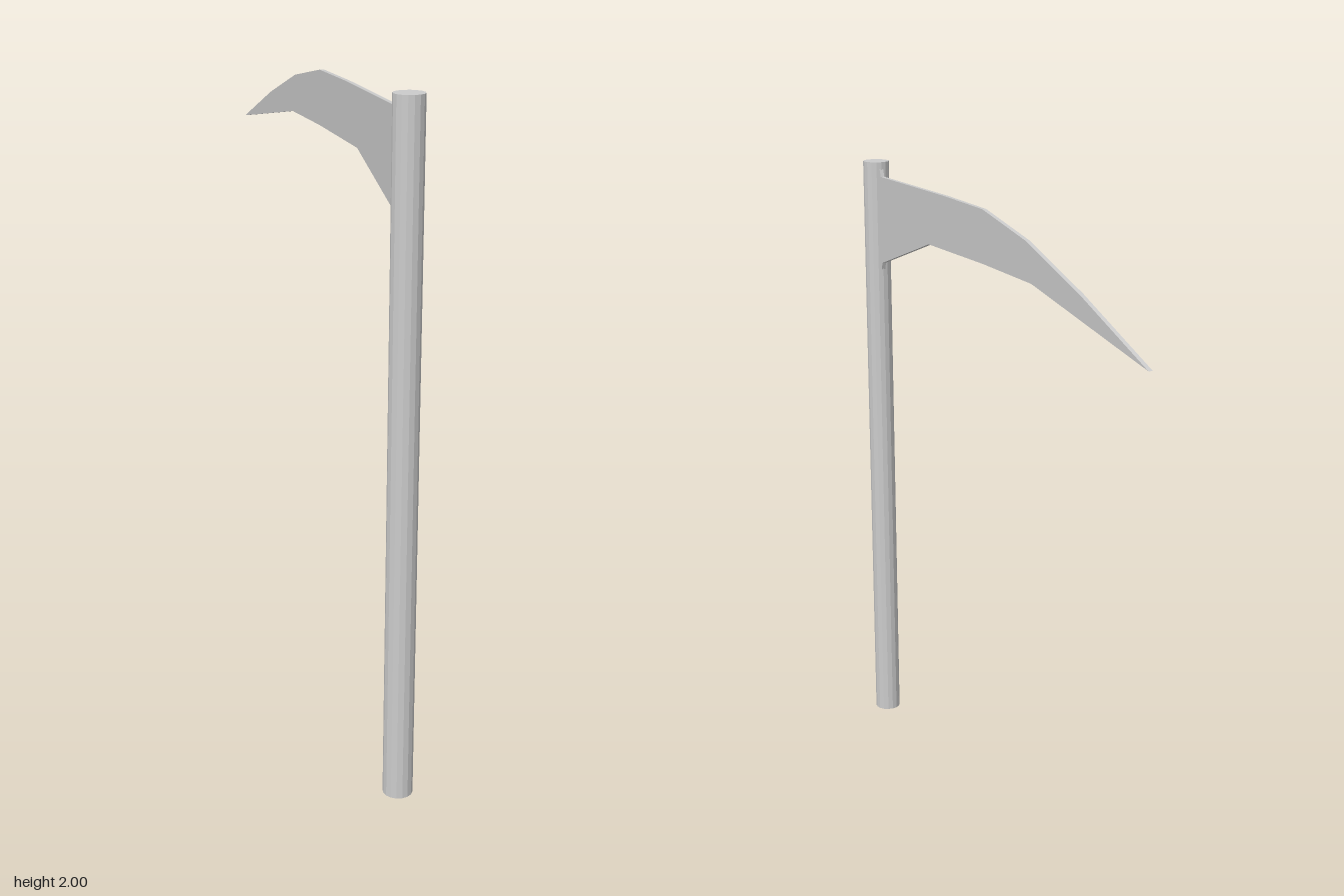
import * as THREE from 'three';

export function createModel() {
  const group = new THREE.Group();
  const material = new THREE.MeshStandardMaterial({ color: 0xcccccc, flatShading: true });

  // Straight faceted pole
  const pole = new THREE.Mesh(new THREE.CylinderGeometry(0.043, 0.043, 2, 16), material);
  pole.name = 'pole';
  pole.position.set(0, 1, 0.83);
  group.add(pole);

  // Thin curved blade: outline as [z, y], flared slightly where it meets the pole
  const outline = [
    [0.81, 1.63], [0.792, 1.63], [0.78, 1.665], [0.42, 1.785], [0.05, 1.785], [-0.25, 1.778],
    [-0.55, 1.722], [-0.872, 1.662], [-0.52, 1.797], [-0.22, 1.895], [0.05, 1.948],
    [0.3, 1.953], [0.78, 1.953], [0.792, 1.99], [0.81, 1.99],
  ];
  const thickness = 0.013;
  const shape = new THREE.Shape(outline.map(([z, y]) => new THREE.Vector2(-z, y)));
  const geometry = new THREE.ExtrudeGeometry(shape, { depth: thickness, bevelEnabled: false });
  geometry.translate(0, 0, -thickness / 2);
  geometry.rotateY(Math.PI / 2); // shape x becomes -z
  const blade = new THREE.Mesh(geometry, material);
  blade.name = 'blade';
  group.add(blade);

  return group;
}
